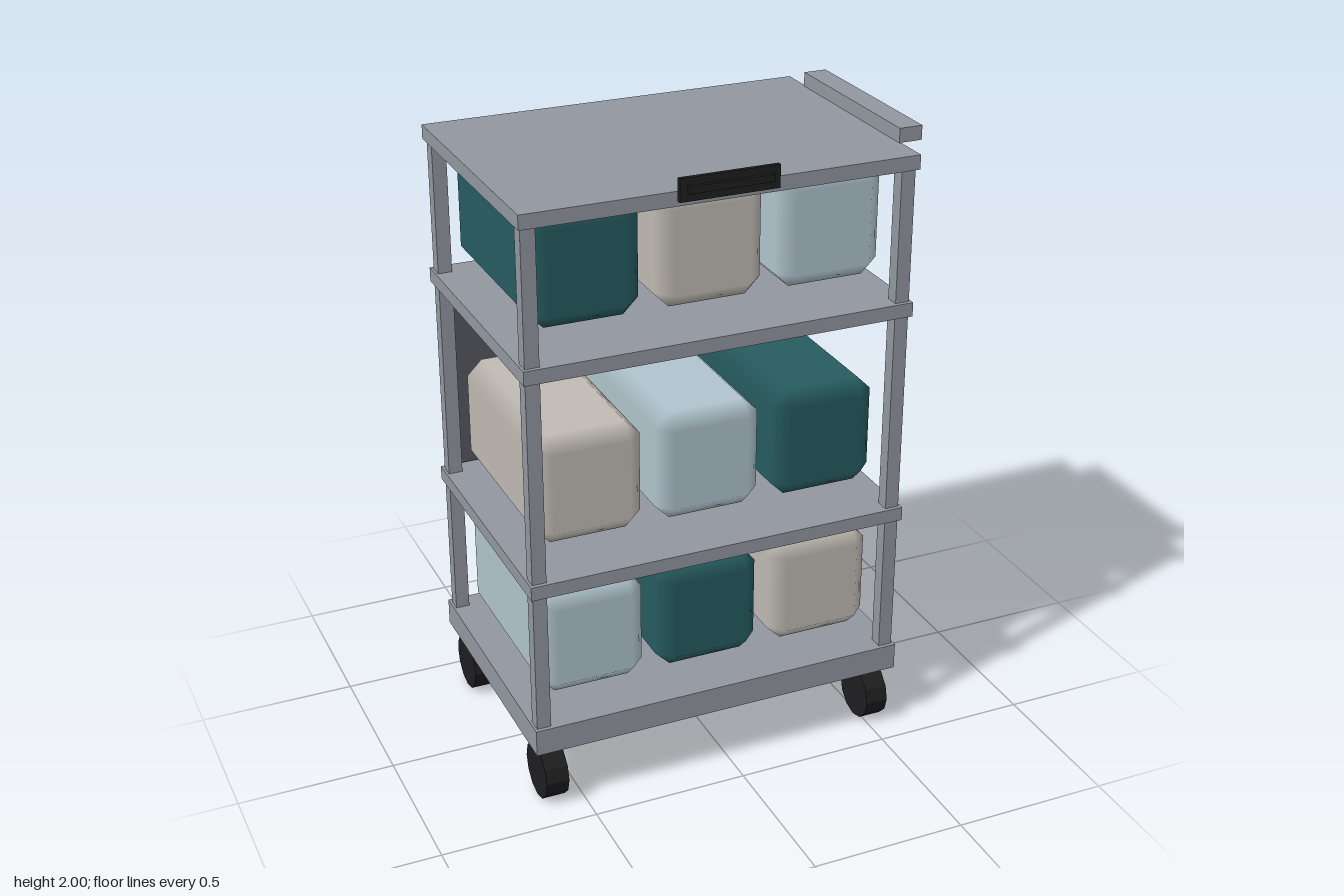
import * as THREE from 'three';
import { ConvexGeometry } from 'three/addons/geometries/ConvexGeometry.js';

const paint = (color) => new THREE.MeshStandardMaterial({ color });
const frame = paint(0x9297a0);
const dark = paint(0x555860);
const black = paint(0x1e1e20);
const teal = paint(0x265c60);
const beige = paint(0xc0bbb3);
const blue = paint(0xb0c4cd);

// Box given by its min and max on each axis
function block(name, [x0, x1], [y0, y1], [z0, z1], material) {
  const mesh = new THREE.Mesh(new THREE.BoxGeometry(x1 - x0, y1 - y0, z1 - z0), material);
  mesh.position.set((x0 + x1) / 2, (y0 + y1) / 2, (z0 + z1) / 2);
  mesh.name = name;
  return mesh;
}

// Box with one-step bevels: flat faces, shading that blends across the bevel
function beveledBox(w, h, d, bevel) {
  const half = [w / 2, h / 2, d / 2];
  const points = [];
  for (const sx of [-1, 1]) for (const sy of [-1, 1]) for (const sz of [-1, 1]) {
    const s = [sx, sy, sz];
    for (let axis = 0; axis < 3; axis++) {
      points.push(new THREE.Vector3(...half.map((v, i) => s[i] * (i === axis ? v : v - bevel))));
    }
  }
  const geometry = new ConvexGeometry(points);
  const pos = geometry.attributes.position;
  const normal = geometry.attributes.normal;
  for (let i = 0; i < pos.count; i++) {
    const p = [pos.getX(i), pos.getY(i), pos.getZ(i)];
    normal.setXYZ(i, ...p.map((v, k) => (Math.abs(v) > half[k] - bevel / 2 ? Math.sign(v) : 0)));
  }
  return geometry;
}

export function createModel() {
  const cart = new THREE.Group();
  cart.name = 'storageCart';

  // Shelves
  const shelfX = [-0.656, 0.582];
  const shelfZ = [-0.441, 0.411];
  const shelves = [
    ['base', 0.204, 0.291],
    ['lowerShelf', 0.751, 0.796],
    ['upperShelf', 1.447, 1.492],
    ['topShelf', 1.91, 1.955],
  ];
  for (const [name, y0, y1] of shelves) cart.add(block(name, shelfX, [y0, y1], shelfZ, frame));

  // Corner posts
  for (const x of [[-0.648, -0.603], [0.529, 0.574]]) {
    for (const z of [[-0.424, -0.379], [0.353, 0.398]]) {
      cart.add(block('post', x, [0.28, 1.92], z, frame));
    }
  }

  // Back panel behind the middle bay
  cart.add(block('backPanel', [-0.64, 0.566], [0.804, 1.42], [-0.45, -0.424], dark));

  // Storage bins, three per bay
  const binShape = beveledBox(0.34, 0.356, 0.68, 0.048);
  const rows = [
    [0.512, [blue, teal, beige]],
    [1.037, [beige, blue, teal]],
    [1.733, [teal, beige, blue]],
  ];
  for (const [y, materials] of rows) {
    materials.forEach((material, i) => {
      const bin = new THREE.Mesh(binShape, material);
      bin.name = 'bin';
      bin.position.set(-0.037 + (i - 1) * 0.387, y, -0.012);
      cart.add(bin);
    });
  }

  // Push bar on the left side
  cart.add(block('sideHandle', [0.576, 0.651], [1.955, 2.0], [-0.327, 0.293], frame));

  // Front handle: thin plate with a bar through it
  const handle = new THREE.Group();
  handle.name = 'frontHandle';
  handle.add(block('handlePlate', [-0.193, 0.116], [1.93, 2.0], [0.424, 0.438], black));
  handle.add(block('handleBar', [-0.17, 0.095], [1.955, 1.977], [0.416, 0.45], black));
  cart.add(handle);

  // Casters
  const wheelShape = new THREE.CylinderGeometry(0.091, 0.091, 0.074, 12).toNonIndexed();
  wheelShape.rotateZ(Math.PI / 2);
  wheelShape.computeVertexNormals();
  for (const x of [-0.593, 0.521]) {
    for (const z of [-0.353, 0.327]) {
      const caster = new THREE.Group();
      caster.name = 'caster';
      const wheel = new THREE.Mesh(wheelShape, black);
      wheel.name = 'wheel';
      wheel.position.y = 0.091;
      caster.add(wheel, block('stem', [-0.031, 0.031], [0.14, 0.21], [-0.04, 0.04], frame));
      caster.position.set(x, 0, z);
      cart.add(caster);
    }
  }
  return cart;
}
